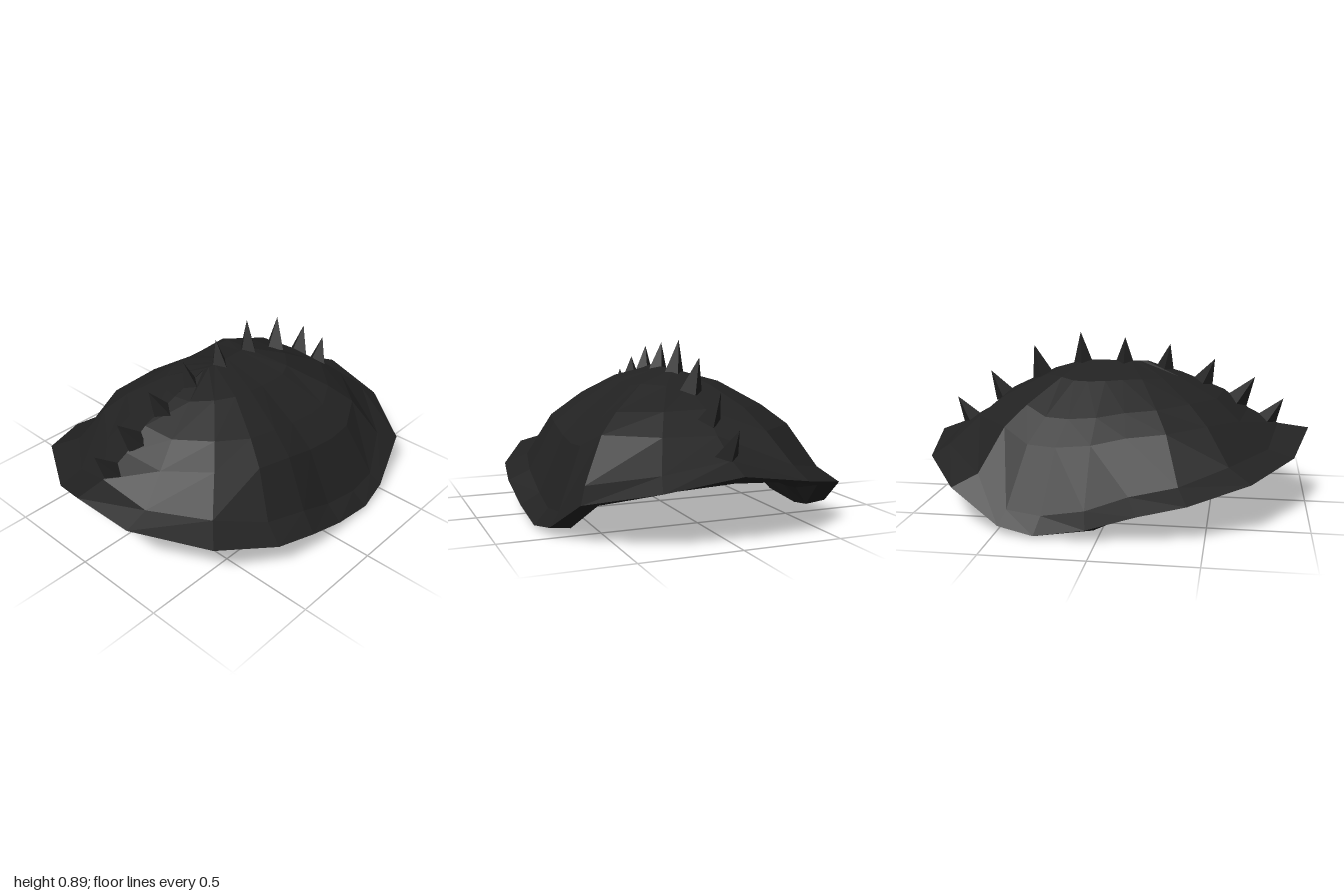
import * as THREE from 'three';

const black = new THREE.MeshStandardMaterial({ color: 0x222222 });
black.name = 'black';

// Half loops from the front centre round the left side to the back: x, y, z
const RIM = [
  [0, 0.405, 1], [0.25, 0.3, 0.92], [0.61, 0.26, 0.71], [0.765, 0.19, 0.42], [0.795, 0.14, 0.19], [0.785, 0.06, -0.05],
  [0.775, 0.015, -0.3], [0.745, 0.045, -0.48], [0.665, 0.2, -0.73], [0.36, 0.27, -0.94], [0, 0.33, -1],
];
const UNDER = [
  [0, 0.255, 0.83], [0.21, 0.235, 0.78], [0.46, 0.195, 0.6], [0.57, 0.165, 0.39], [0.65, 0.11, 0.17], [0.67, 0.02, -0.03],
  [0.67, 0, -0.3], [0.64, 0.03, -0.47], [0.57, 0.18, -0.68], [0.31, 0.255, -0.86], [0, 0.28, -0.9],
];
const CREASE = [
  [0, 0.425, 0.84], [0.24, 0.34, 0.79], [0.5, 0.31, 0.6], [0.65, 0.245, 0.37], [0.69, 0.2, 0.14], [0.69, 0.12, -0.07],
  [0.7, 0.09, -0.28], [0.69, 0.11, -0.45], [0.61, 0.26, -0.61], [0.33, 0.33, -0.85], [0, 0.38, -0.87],
];

// Shrinks a loop towards the centre while raising it towards a peak height
function shrink(loop, sx, sz, peak, rise, sideRise) {
  return loop.map(([x, y, z]) => {
    const t = rise + sideRise * (x / 0.7);
    return [x * sx, y + (peak - y) * t, -0.02 + (z + 0.02) * sz];
  });
}

// Mirrors a half loop into a full one
function mirrorLoop(half) {
  const other = half.slice(1, -1).reverse().map(([x, y, z]) => [-x, y, z]);
  return [...half, ...other];
}

// Joins successive loops with flat facets
function loft(halfLoops) {
  const loops = halfLoops.map(mirrorLoop);
  const points = [];
  for (let r = 0; r < loops.length - 1; r++) {
    const a = loops[r], b = loops[r + 1], n = a.length;
    for (let i = 0; i < n; i++) {
      const j = (i + 1) % n;
      // mirror the diagonal on the right half
      if (i < n / 2) points.push(a[i], a[j], b[j], a[i], b[j], b[i]);
      else points.push(a[i], a[j], b[i], a[j], b[j], b[i]);
    }
  }
  const geometry = new THREE.BufferGeometry();
  geometry.setAttribute('position', new THREE.Float32BufferAttribute(points.flat(), 3));
  geometry.computeVertexNormals();
  return geometry;
}

function addMesh(group, name, geometry) {
  const mesh = new THREE.Mesh(geometry, black);
  mesh.name = name;
  group.add(mesh);
}

// Four-sided thorn from a base point to a tip, both given as z, y
function spikeGeometry([bz, by], [tz, ty]) {
  const base = new THREE.Vector3(0, by, bz);
  const axis = new THREE.Vector3(-0.02, ty, tz).sub(base);
  const length = axis.length(), sunk = 0.03;
  const geometry = new THREE.ConeGeometry(0.06, length + sunk, 4).toNonIndexed();
  geometry.translate(0, (length - sunk) / 2, 0);
  geometry.applyQuaternion(new THREE.Quaternion().setFromUnitVectors(new THREE.Vector3(0, 1, 0), axis.normalize()));
  geometry.translate(base.x, base.y, base.z);
  geometry.computeVertexNormals();
  return geometry;
}

export function createModel() {
  const model = new THREE.Group();
  model.name = 'spikedShell';

  // Domed top
  addMesh(model, 'dome', loft([
    CREASE,
    shrink(CREASE, 0.81, 0.82, 0.735, 0.25, 0.22),
    shrink(CREASE, 0.64, 0.67, 0.735, 0.56, 0.09),
    shrink(CREASE, 0.35, 0.43, 0.735, 0.81, 0.08),
    shrink(CREASE, 0, 0.2, 0.74, 1, 0),
  ]));

  // Flared lip around the edge
  addMesh(model, 'lip', loft([UNDER, RIM, CREASE]));

  // Shallow underside: a short inner wall and a nearly flat ceiling
  addMesh(model, 'underside', loft([
    shrink(UNDER, 0, 0, 0.37, 1, 0),
    shrink(UNDER, 0.93, 0.93, 0.37, 0.25, 0),
    UNDER,
  ]));

  // Row of spikes along the ridge, front to back
  const spikes = [
    [[0.79, 0.45], [0.865, 0.56]], [[0.64, 0.56], [0.715, 0.67]], [[0.45, 0.645], [0.505, 0.76]],
    [[0.24, 0.695], [0.27, 0.835]], [[0.025, 0.725], [0.03, 0.865]], [[-0.2, 0.725], [-0.21, 0.89]],
    [[-0.43, 0.675], [-0.465, 0.815]], [[-0.65, 0.555], [-0.71, 0.67]], [[-0.84, 0.41], [-0.905, 0.52]],
  ];
  const row = new THREE.Group();
  row.name = 'spikes';
  spikes.forEach(([base, tip], i) => addMesh(row, `spike${i + 1}`, spikeGeometry(base, tip)));
  model.add(row);
  return model;
}
